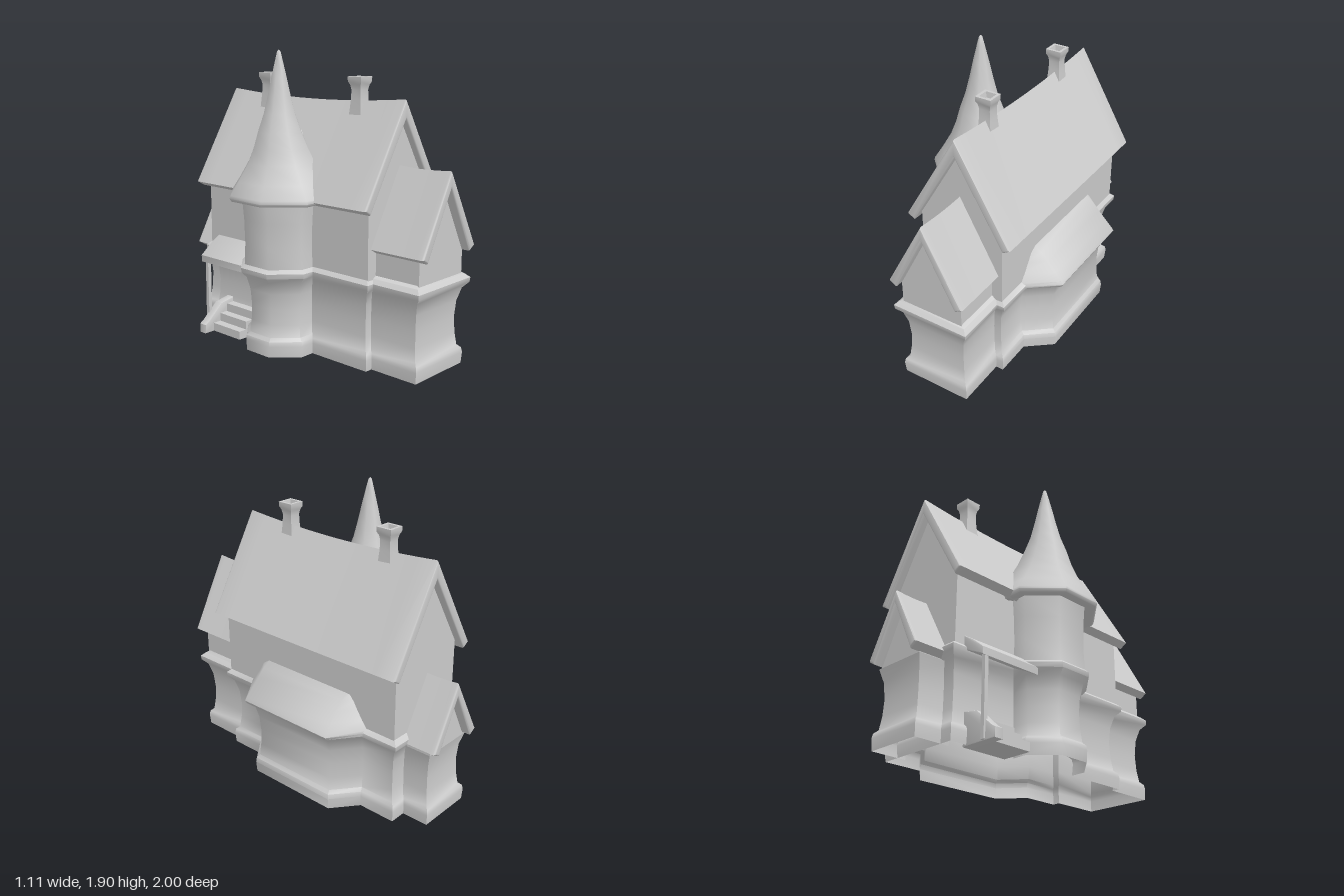
import * as THREE from 'three';
import { toCreasedNormals } from 'three/addons/utils/BufferGeometryUtils.js';

const material = new THREE.MeshStandardMaterial({ color: 0xcccccc, side: THREE.DoubleSide });
const CX = 0.055; // centre line of the house

function part(parent, name, geometry, crease = 0.9) {
  const mesh = new THREE.Mesh(toCreasedNormals(geometry, crease), material);
  mesh.name = name;
  parent.add(mesh);
  return mesh;
}

// Skin between rings, each an array of [x, y, z]
function loft(rings, closed) {
  const n = rings[0].length, index = [];
  const last = closed ? n : n - 1;
  for (let r = 0; r < rings.length - 1; r++) {
    for (let i = 0; i < last; i++) {
      const j = (i + 1) % n, a = r * n + i, b = r * n + j;
      index.push(a, b, b + n, a, b + n, a + n);
    }
  }
  const g = new THREE.BufferGeometry();
  g.setAttribute('position', new THREE.Float32BufferAttribute(rings.flat(2), 3));
  g.setIndex(index);
  return g;
}

// Mitred outward offset of a plan outline of [x, z] points
function offsetPlan(plan, d, y, closed) {
  const n = plan.length;
  const normal = (i) => {
    const a = plan[(i + n) % n], b = plan[(i + 1) % n];
    const dx = b[0] - a[0], dz = b[1] - a[1], l = Math.hypot(dx, dz);
    return [-dz / l, dx / l];
  };
  return plan.map((p, i) => {
    const n1 = normal(!closed && i === 0 ? 0 : i - 1);
    const n2 = normal(!closed && i === n - 1 ? n - 2 : i);
    const k = d / (1 + n1[0] * n2[0] + n1[1] * n2[1]);
    return [p[0] + (n1[0] + n2[0]) * k, y, p[1] + (n1[1] + n2[1]) * k];
  });
}

// Wall profile: [y, outward offset] with plinth, waist and belt course
const wallProfile = [[0, 0.035], [0.07, 0.04], [0.1, 0.035], [0.12, 0.014], [0.2, 0.004], [0.3, 0],
  [0.4, 0.008], [0.48, 0.03], [0.515, 0.062], [0.545, 0.065], [0.57, 0.038], [0.59, 0.008]];

function profiledWalls(plan, profile, closed) {
  return loft(profile.map(([y, d]) => offsetPlan(plan, d, y, closed)), closed);
}

// Hollow gable roof running along z, with rounded edges and a sagging ridge
function gableRoof({ w, e, R, t, z0, z1, sag }) {
  const s = new THREE.Shape([[0, R], [-w, e + 0.03], [-w + 0.05, e], [0, R - t], [w - 0.05, e], [w, e + 0.03]]
    .map(([x, y]) => new THREE.Vector2(x, y)));
  const b = 0.014, depth = z1 - z0 - 2 * b;
  const g = new THREE.ExtrudeGeometry(s, {
    depth, steps: 12, bevelEnabled: true, bevelThickness: b, bevelSize: b, bevelOffset: -b, bevelSegments: 3
  });
  g.translate(0, 0, z0 + b);
  const p = g.attributes.position;
  for (let i = 0; i < p.count; i++) {
    const u = (2 * (p.getZ(i) - z0)) / (z1 - z0) - 1, y = p.getY(i);
    p.setY(i, y - sag * (1 - u * u) * Math.max(0, (y - e) / (R - e)));
  }
  return g;
}

// Thin gable ends and side walls that reach up into a roof
function gableBlock(parent, name, roof, cx, hw, y0, z0, z1) {
  const group = new THREE.Group();
  group.name = name;
  group.position.x = cx;
  parent.add(group);
  part(group, name + 'Roof', gableRoof(roof), 0.6);
  const peak = roof.R - 0.6 * roof.t - roof.sag * 0.3;
  const edge = peak - ((roof.R - roof.e - 0.03) / roof.w) * hw;
  const s = new THREE.Shape([[-hw, y0], [hw, y0], [hw, edge], [0, peak], [-hw, edge]]
    .map(([x, y]) => new THREE.Vector2(x, y)));
  for (const z of [z0, z1]) part(group, name + 'GableWall', new THREE.ShapeGeometry(s)).position.z = z;
  for (const side of [-1, 1]) {
    const wall = part(group, name + 'SideWall', new THREE.PlaneGeometry(z1 - z0, edge - y0));
    wall.rotation.y = side * Math.PI / 2;
    wall.position.set(side * hw, (y0 + edge) / 2, (z0 + z1) / 2);
  }
}

// Regular prism-like turning; profile is [apothem, y]
function turned(profile, sides) {
  const k = 1 / Math.cos(Math.PI / sides);
  const g = new THREE.LatheGeometry(profile.map(([a, y]) => new THREE.Vector2(a * k, y)), sides);
  return g.rotateY(Math.PI / sides);
}

export function createModel() {
  const house = new THREE.Group();
  house.name = 'house';

  // Lower walls: front wing, main body, side bay and tower in one outline
  const plan = [[0.25, 0.91], [0.25, 0.58], [0.3, 0.58], [0.3, 0.35], [0.46, 0.22], [0.46, -0.38], [0.3, -0.51],
    [0.3, -0.74], [-0.19, -0.74], [-0.19, -0.28], [-0.307, -0.28], [-0.43, -0.157], [-0.43, 0.017],
    [-0.307, 0.14], [-0.19, 0.14], [-0.19, 0.58], [-0.14, 0.58], [-0.14, 0.91]];
  part(house, 'lowerWalls', profiledWalls(plan, wallProfile, true));

  // Back wing lower walls, without the belt
  const backPlan = [[0.19, -0.72], [0.19, -0.915], [-0.11, -0.915], [-0.11, -0.72]];
  part(house, 'backWingLowerWalls', profiledWalls(backPlan, wallProfile.filter(([y]) => y < 0.5), false));

  // Upper walls and roofs
  gableBlock(house, 'mainHouse', { w: 0.365, e: 0.965, R: 1.61, t: 0.115, z0: -0.825, z1: 0.67, sag: 0.035 },
    CX, 0.285, 0.56, -0.775, 0.625);
  gableBlock(house, 'frontWing', { w: 0.26, e: 0.72, R: 1.225, t: 0.1, z0: 0.55, z1: 1, sag: 0.012 },
    CX, 0.212, 0.56, 0.6, 0.94);
  gableBlock(house, 'backWing', { w: 0.212, e: 0.49, R: 0.905, t: 0.09, z0: -1, z1: -0.7, sag: 0.01 },
    0.04, 0.165, 0.46, -0.937, -0.75);

  // Side bay roof: [y, outer x, half length outside, half length at the wall]
  const bayRings = [[0.505, 0.5, 0.32, 0.46], [0.52, 0.54, 0.34, 0.5], [0.54, 0.55, 0.345, 0.505],
    [0.56, 0.54, 0.34, 0.5], [0.61, 0.495, 0.335, 0.46], [0.67, 0.44, 0.33, 0.42],
    [0.72, 0.39, 0.33, 0.39], [0.755, 0.335, 0.33, 0.36]]
    .map(([y, x, a, b]) => [[0.33, b], [x, a], [x, -a], [0.33, -b]].map(([px, pz]) => [px, y, pz - 0.08]));
  part(house, 'bayRoof', loft(bayRings, false));

  // Octagonal tower with a flared, slightly leaning spire
  part(house, 'towerWall', turned([[0.252, 0.56], [0.246, 0.7], [0.25, 0.85], [0.262, 1]], 8))
    .position.set(-0.22, 0, -0.07);
  const spire = turned([[0.24, 0.985], [0.3, 0.968], [0.325, 0.972], [0.336, 0.99], [0.33, 1.01], [0.275, 1.09],
    [0.207, 1.2], [0.167, 1.29], [0.133, 1.39], [0.096, 1.5], [0.07, 1.61], [0.047, 1.72], [0.022, 1.83],
    [0.01, 1.88], [0, 1.89]], 8);
  const sp = spire.attributes.position;
  for (let i = 0; i < sp.count; i++) {
    sp.setX(i, sp.getX(i) - 0.04 * THREE.MathUtils.clamp((sp.getY(i) - 1) / 0.4, 0, 1));
  }
  part(house, 'towerSpire', spire).position.set(-0.22, 0, -0.07);

  // Saddle joining the spire to the main roof
  const saddle = [-0.24, -0.05].map((x) =>
    [[0.27, 1.0], [0.15, 1.17], [0.06, 1.33], [0, 1.385], [-0.06, 1.33], [-0.15, 1.17], [-0.27, 1.0]]
      .map(([z, y]) => [x, y, z - 0.07]));
  part(house, 'towerSaddle', loft(saddle, false));

  // Chimneys with hollow tops
  for (const z of [0.315, -0.47]) {
    part(house, 'chimney', turned([[0.046, 1.5], [0.038, 1.59], [0.036, 1.65], [0.042, 1.68], [0.052, 1.7],
      [0.053, 1.73], [0.036, 1.73], [0.03, 1.695], [0, 1.695]], 4)).position.set(0.048, 0, z);
  }

  // Side entrance: sloping porch roof, post, steps and a sloping cheek
  const box = (name, w, h, d, x, y, z) => part(house, name, new THREE.BoxGeometry(w, h, d)).position.set(x, y, z);
  const profileX = (name, pts, z, depth) => part(house, name, new THREE.ExtrudeGeometry(
    new THREE.Shape(pts.map(([x, y]) => new THREE.Vector2(x, y))),
    { depth, bevelEnabled: true, bevelSize: 0.006, bevelThickness: 0.006, bevelSegments: 2 }), 0.6).position.z = z;
  profileX('porchRoof', [[-0.2, 0.64], [-0.3, 0.575], [-0.38, 0.51], [-0.38, 0.475], [-0.2, 0.56]], -0.7, 0.42);
  box('porchPost', 0.025, 0.5, 0.025, -0.36, 0.25, -0.665);
  for (let i = 0; i < 3; i++) {
    box('step', 0.2 - i * 0.06, 0.055, 0.26, -0.28 + i * 0.03, 0.0275 + i * 0.055, -0.47);
  }
  profileX('stepCheek', [[-0.2, 0], [-0.44, 0], [-0.44, 0.05], [-0.41, 0.07], [-0.3, 0.17], [-0.2, 0.19]], -0.66, 0.05);

  return house;
}
